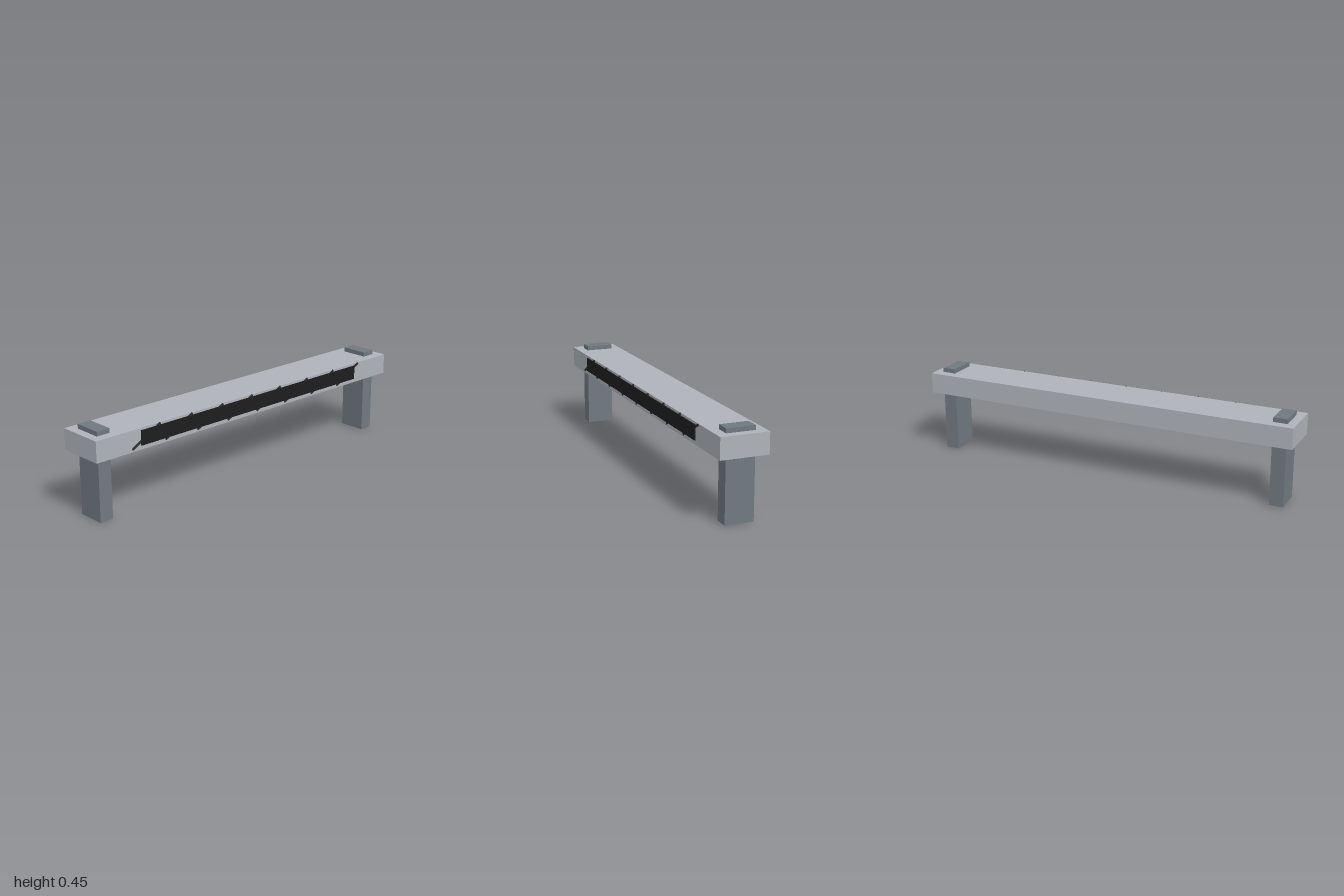
import * as THREE from 'three';

export function createModel() {
  const model = new THREE.Group();
  const material = (name, color) => {
    const m = new THREE.MeshStandardMaterial({ color });
    m.name = name;
    return m;
  };
  const lightGrey = material('lightGrey', 0xafb4ba);
  const slateGrey = material('slateGrey', 0x717980);
  const black = material('black', 0x1e1e1e);
  const charcoal = material('charcoal', 0x2c2e30);

  // Adds a box given its size and centre
  const box = (name, mat, w, h, d, x, y, z) => {
    const mesh = new THREE.Mesh(new THREE.BoxGeometry(w, h, d), mat);
    mesh.name = name;
    mesh.position.set(x, y, z);
    model.add(mesh);
    return mesh;
  };

  // Crossbeam
  box('beam', lightGrey, 2, 0.107, 0.242, 0, 0.3755, -0.003);

  // Posts pass through the beam and stand slightly proud of its top
  for (const side of [-1, 1]) {
    box(side > 0 ? 'leftPost' : 'rightPost', slateGrey, 0.072, 0.452, 0.145, side * 0.921, 0.226, -0.0025);
  }

  // Dark panel on the front face
  box('frontPanel', black, 1.486, 0.074, 0.006, 0, 0.381, 0.122);

  // Slanted slats behind the panel, showing at its edges
  for (let i = 0; i < 8; i++) {
    const slat = box('slat', charcoal, 0.192, 0.011, 0.005, -0.71 + i * 0.2, 0.381, 0.12);
    slat.rotation.z = Math.PI / 6.4;
  }

  return model;
}
